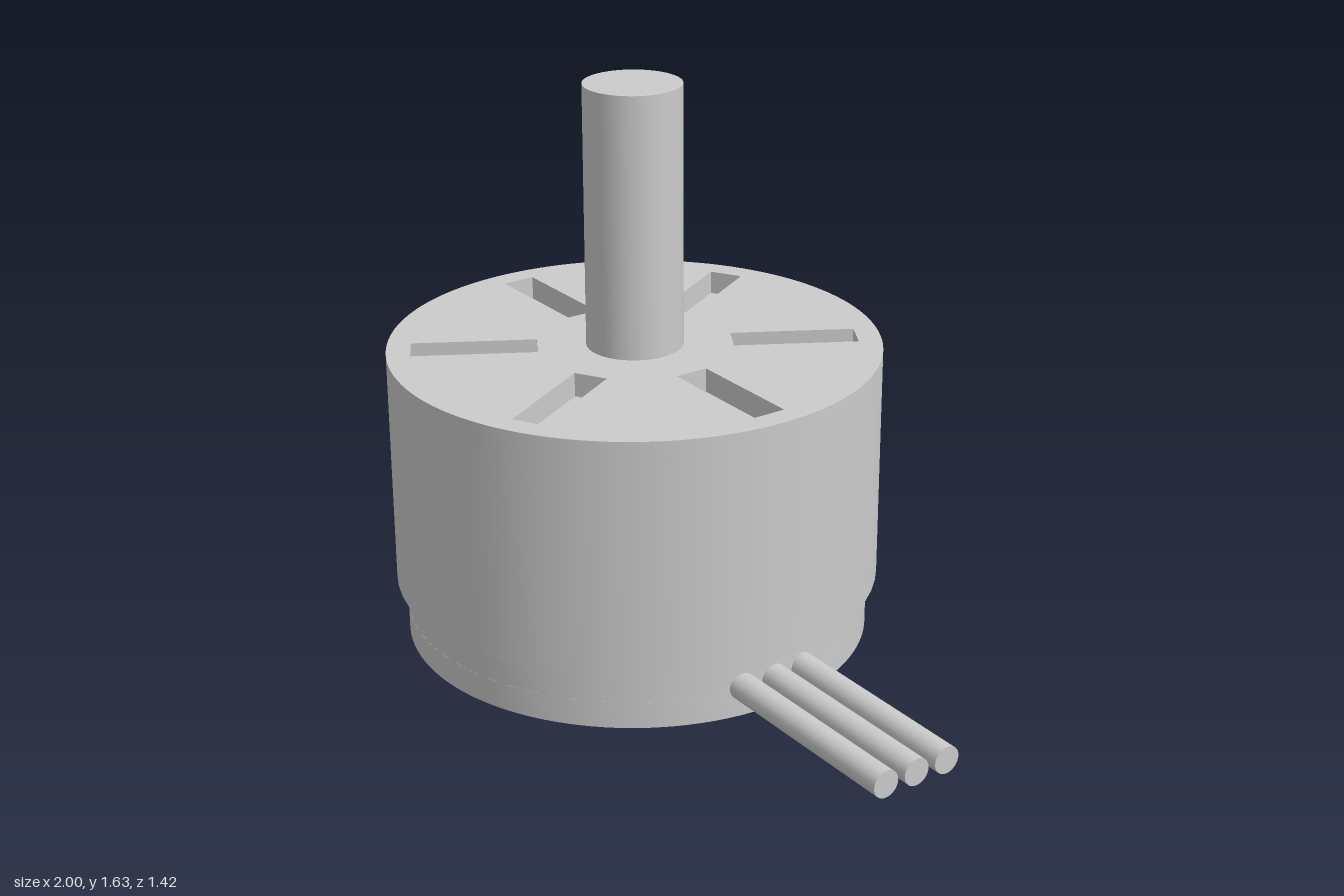
import * as THREE from 'three';
import { toCreasedNormals } from 'three/addons/utils/BufferGeometryUtils.js';

const SEGMENTS = 64;
const grey = new THREE.MeshStandardMaterial({ color: 0xcccccc });

function addMesh(parent, name, geometry, x = 0, y = 0, z = 0) {
  const mesh = new THREE.Mesh(geometry, grey);
  mesh.name = name;
  mesh.position.set(x, y, z);
  parent.add(mesh);
  return mesh;
}

// Upright cylinder spanning y0..y1
function addCylinder(parent, name, radius, y0, y1) {
  const geometry = new THREE.CylinderGeometry(radius, radius, y1 - y0, SEGMENTS);
  return addMesh(parent, name, geometry, 0, (y0 + y1) / 2, 0);
}

// Round plate pierced by holes, its underside at y0
function addPlate(parent, name, radius, y0, thickness, holes) {
  const shape = new THREE.Shape().absarc(0, 0, radius, 0, Math.PI * 2);
  shape.holes = holes;
  const extruded = new THREE.ExtrudeGeometry(shape, {
    depth: thickness, bevelEnabled: false, curveSegments: SEGMENTS,
  });
  extruded.rotateX(-Math.PI / 2);
  return addMesh(parent, name, toCreasedNormals(extruded, 0.5), 0, y0, 0);
}

function roundHole(x, y, radius) {
  return new THREE.Path().absarc(x, y, radius, 0, Math.PI * 2);
}

// Radial rectangular slot at a given angle
function slotHole(angle, inner, outer, width) {
  const centre = new THREE.Vector2();
  const corners = [
    [inner, -width / 2], [outer, -width / 2], [outer, width / 2], [inner, width / 2],
  ].map(([x, y]) => new THREE.Vector2(x, y).rotateAround(centre, angle));
  const path = new THREE.Path(corners);
  path.closePath();
  return path;
}

export function createModel() {
  const model = new THREE.Group();
  model.name = 'motor';

  // Everything round shares one axis, offset to leave room for the wires
  const body = new THREE.Group();
  body.name = 'body';
  body.position.x = -0.29;
  model.add(body);

  // Stationary base: blind centre bore and four mounting holes on two diagonals
  const holes = [roundHole(0, 0, 0.125)];
  for (const side of [-1, 1]) {
    holes.push(roundHole(side * 0.34, side * 0.34, 0.06));
    holes.push(roundHole(side * 0.285, -side * 0.285, 0.06));
  }
  addPlate(body, 'mountingPlate', 0.68, 0, 0.08, holes);
  addCylinder(body, 'base', 0.68, 0.08, 0.17);

  // Rotating can with six shallow radial slots in its top
  addCylinder(body, 'can', 0.71, 0.17, 0.8);
  const slots = [];
  for (let i = 0; i < 6; i++) slots.push(slotHole((i * Math.PI) / 3, 0.28, 0.64, 0.1));
  addPlate(body, 'slottedTop', 0.71, 0.8, 0.07, slots);

  // Output shaft
  addCylinder(body, 'shaft', 0.14, 0.85, 1.635);

  // Three wires leaving the base
  const wires = new THREE.Group();
  wires.name = 'wires';
  model.add(wires);
  const wireGeometry = new THREE.CylinderGeometry(0.04, 0.04, 0.68, 32).rotateZ(Math.PI / 2);
  for (const z of [-0.102, 0, 0.102]) addMesh(wires, 'wire', wireGeometry, 0.66, 0.09, z);

  return model;
}
